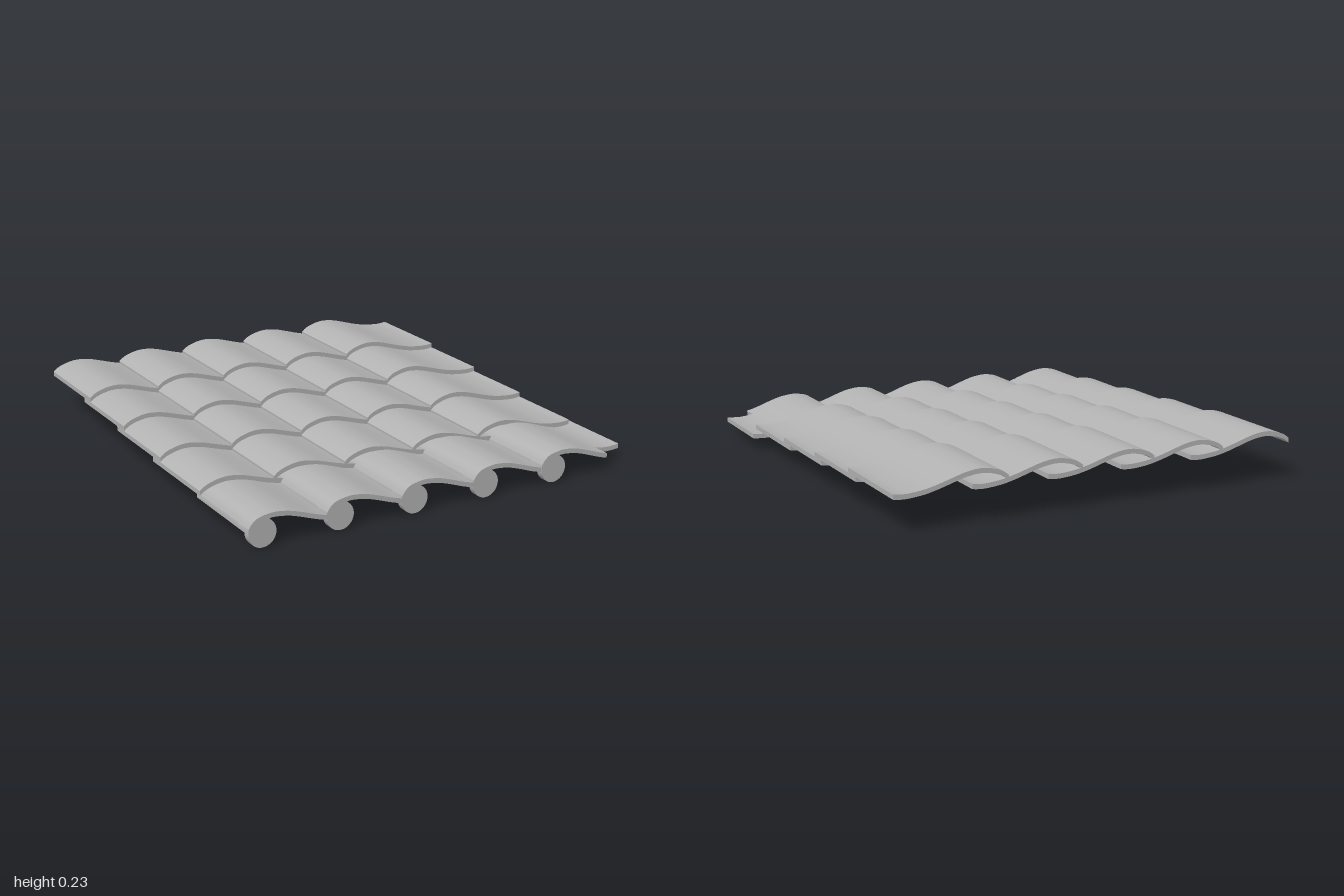
import * as THREE from 'three';
import { toCreasedNormals } from 'three/addons/utils/BufferGeometryUtils.js';

const THICK = 0.021;
const COLUMNS = 5, ROWS = 5;
const RIDGE_TOP = 0.14, ROW_RISE = 0.0215, ROW_PITCH = 0.3835;

// Top line of a tile section: offset from its left edge, height below the ridge
const FIELD = [[0, -0.042], [0.03, -0.021], [0.08, -0.005], [0.13, 0], [0.19, -0.008], [0.25, -0.025],
  [0.31, -0.043], [0.37, -0.057], [0.43, -0.064], [0.47, -0.065], [0.505, -0.061]];
const EAVES = [[0, -0.055], [0.015, -0.032], [0.04, -0.013], [0.08, -0.003], [0.12, 0], [0.18, -0.008],
  [0.24, -0.026], [0.3, -0.047], [0.355, -0.062], [0.41, -0.069], [0.45, -0.068], [0.48, -0.065]];

// Extrudes a wavy sheet of even thickness along z, optionally cut off at maxX
function waveSheet(points, depth, maxX = Infinity) {
  const curve = new THREE.SplineCurve(points.map(([x, y]) => new THREE.Vector2(x, y)));
  const top = curve.getPoints(36).filter(p => p.x <= maxX + 0.001);
  const bottom = top.map(p => new THREE.Vector2(p.x, p.y - THICK)).reverse();
  const shape = new THREE.Shape([...bottom, ...top]);
  const geometry = new THREE.ExtrudeGeometry(shape, { depth, bevelEnabled: false });
  return toCreasedNormals(geometry, 0.6);
}

export function createModel() {
  const model = new THREE.Group();
  model.name = 'roofTiles';
  const clay = new THREE.MeshStandardMaterial({ color: 0xb2b2b2 });
  clay.name = 'plain grey';

  const add = (parent, name, geometry, x, y, z) => {
    const mesh = new THREE.Mesh(geometry, clay);
    mesh.name = name;
    mesh.position.set(x, y, z);
    parent.add(mesh);
    return mesh;
  };

  // Eaves row: notched front corner and a round closing disc under each ridge
  const eavesBack = waveSheet(EAVES, 0.38);
  const eavesFront = waveSheet(EAVES, 0.08, 0.355);
  const disc = new THREE.CylinderGeometry(0.062, 0.062, 0.035, 40).rotateX(Math.PI / 2);
  for (let c = 0; c < COLUMNS; c++) {
    const tile = new THREE.Group();
    tile.name = 'eavesTile';
    tile.position.x = -0.94 + c * 0.3535;
    add(tile, 'tileBody', eavesBack, 0, RIDGE_TOP, 0.54);
    add(tile, 'tileFront', eavesFront, 0, RIDGE_TOP, 0.92);
    add(tile, 'endDisc', disc, 0.062, 0.062, 0.9825);
    model.add(tile);
  }

  // Field rows: each one lies on the row in front of it
  const fieldTile = waveSheet(FIELD, 0.46);
  for (let r = 1; r < ROWS; r++) {
    const row = new THREE.Group();
    row.name = 'tileRow';
    for (let c = 0; c < COLUMNS; c++) {
      add(row, 'fieldTile', fieldTile, -0.96 + c * 0.3425, RIDGE_TOP + r * ROW_RISE, 0.534 - r * ROW_PITCH);
    }
    model.add(row);
  }
  return model;
}
